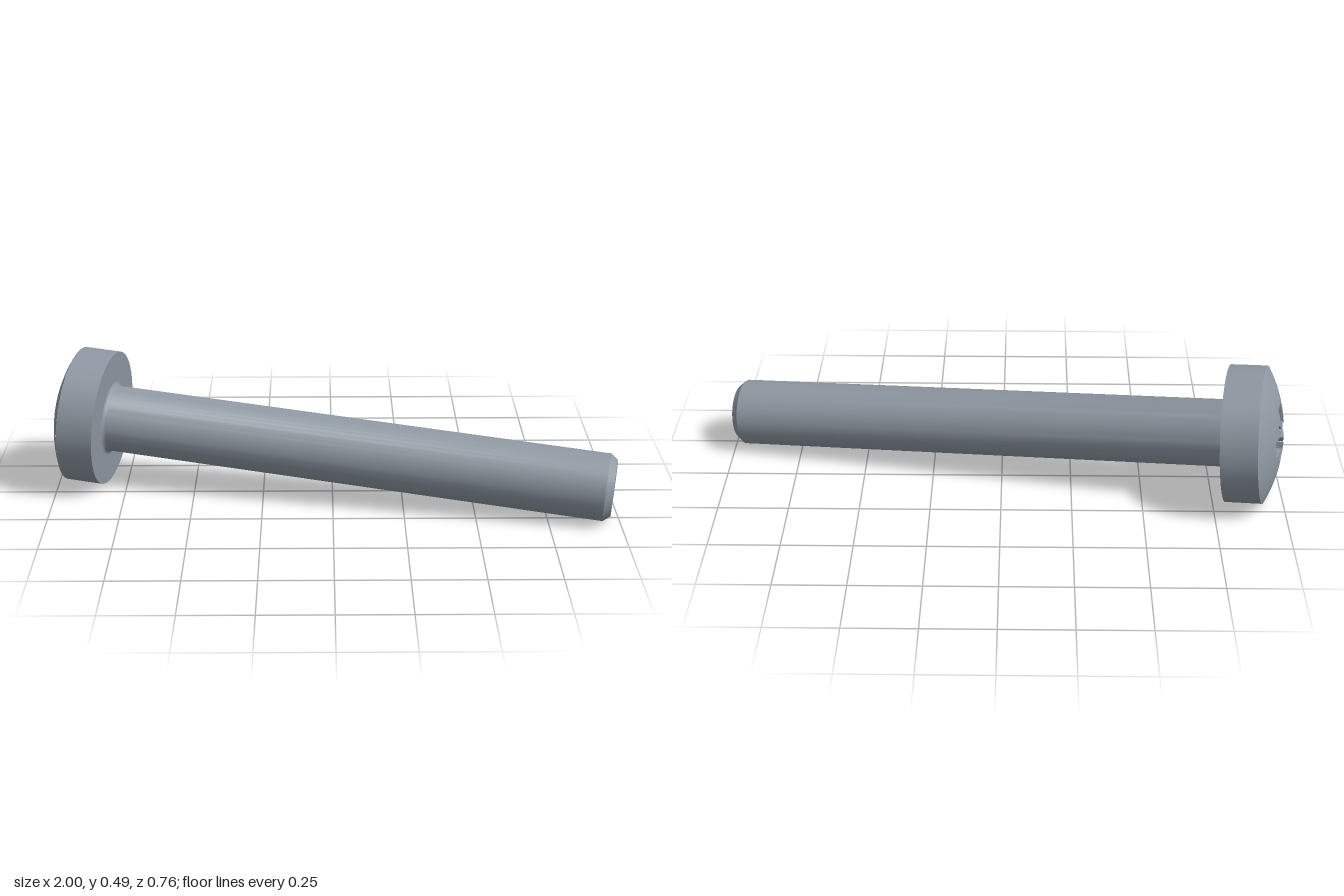
import * as THREE from 'three';
import { toCreasedNormals } from 'three/addons/utils/BufferGeometryUtils.js';

const HEAD_R = 0.243, RIM_H = 0.13, DOME_H = 0.063, SHAFT_R = 0.119, LENGTH = 1.823;
const SPHERE_R = (HEAD_R ** 2 + DOME_H ** 2) / (2 * DOME_H);
const domeY = (r) => RIM_H + DOME_H - SPHERE_R + Math.sqrt(SPHERE_R ** 2 - r * r);

// Outline of the cross recess, one quadrant turned four times: [x, y, floor scale]
function recessOutline() {
  const quadrant = [
    [0.115, -0.03, 0.55], [0.115, 0.03, 0.55], // wing end
    [0.042, 0.03, 0.75], [0.07, 0.061, 0.45],  // thin diagonal slit
    [0.061, 0.07, 0.45], [0.03, 0.042, 0.75],
  ];
  const corners = [];
  for (let q = 0; q < 4; q++) {
    const c = Math.round(Math.cos(q * Math.PI / 2)), s = Math.round(Math.sin(q * Math.PI / 2));
    for (const [x, y, f] of quadrant) corners.push(new THREE.Vector3(x * c - y * s, x * s + y * c, f));
  }
  const points = [];
  corners.forEach((a, i) => {
    const b = corners[(i + 1) % corners.length];
    for (let k = 0; k < 4; k++) points.push(a.clone().lerp(b, k / 4));
  });
  return points;
}

// Skin between closed rings, listed from the inside outwards
function skinRings(rings) {
  const n = rings[0].length, positions = [], index = [];
  rings.forEach((ring) => ring.forEach((p) => positions.push(p.x, p.y, p.z)));
  for (let k = 0; k < rings.length - 1; k++) {
    for (let i = 0; i < n; i++) {
      const j = (i + 1) % n, a = k * n + i, b = a + n, c = (k + 1) * n + j, d = k * n + j;
      index.push(a, b, c);
      if (rings[k][i].distanceTo(rings[k][j]) > 1e-6) index.push(a, c, d);
    }
  }
  const geometry = new THREE.BufferGeometry();
  geometry.setAttribute('position', new THREE.Float32BufferAttribute(positions, 3));
  geometry.setIndex(index);
  return toCreasedNormals(geometry, 0.5);
}

function lathe(profile) {
  const points = profile.map(([r, y]) => new THREE.Vector2(r, y));
  return toCreasedNormals(new THREE.LatheGeometry(points, 48), 0.5);
}

export function createModel() {
  const steel = new THREE.MeshStandardMaterial({ color: 0x8f99a3 });
  steel.name = 'steel grey';
  const screw = new THREE.Group();
  screw.name = 'screw';
  const add = (name, geometry) => {
    const mesh = new THREE.Mesh(geometry, steel);
    mesh.name = name;
    screw.add(mesh);
    return mesh;
  };

  // Shaft with chamfered tip and a small fillet under the head
  const fillet = 0.016, profile = [[0, -LENGTH], [0.099, -LENGTH], [SHAFT_R, -LENGTH + 0.025]];
  for (let i = 0; i <= 5; i++) {
    const a = i / 5 * Math.PI / 2;
    profile.push([SHAFT_R + fillet * (1 - Math.cos(a)), -fillet + fillet * Math.sin(a)]);
  }
  add('shaft', lathe(profile));

  // Head underside and rim
  add('headRim', lathe([[SHAFT_R + fillet, 0], [HEAD_R, 0], [HEAD_R, RIM_H]]));

  // Domed top around the recess
  const outline = recessOutline();
  const domeRings = [];
  for (let k = 0; k <= 8; k++) {
    domeRings.push(outline.map((p) => {
      const edge = Math.hypot(p.x, p.y), r = THREE.MathUtils.lerp(edge, HEAD_R, k / 8);
      return new THREE.Vector3(p.x / edge * r, domeY(r), -p.y / edge * r);
    }));
  }
  const dome = add('headDome', skinRings(domeRings));

  // Recess floor and tapered walls
  const floorY = 0.065;
  const recess = add('crossRecess', skinRings([
    outline.map(() => new THREE.Vector3(0, floorY - 0.01, 0)),
    outline.map((p) => new THREE.Vector3(p.x * p.z, floorY, -p.y * p.z)),
    domeRings[0],
  ]));
  dome.rotation.y = recess.rotation.y = -0.2;

  // Lay the screw along its slanted axis
  const headward = new THREE.Vector3(-0.9753, 0.068, -0.21).normalize();
  screw.quaternion.setFromUnitVectors(new THREE.Vector3(0, 1, 0), headward);
  screw.position.set(-0.8, 0.2425, -0.117);

  const model = new THREE.Group();
  model.name = 'machineScrew';
  model.add(screw);
  return model;
}
